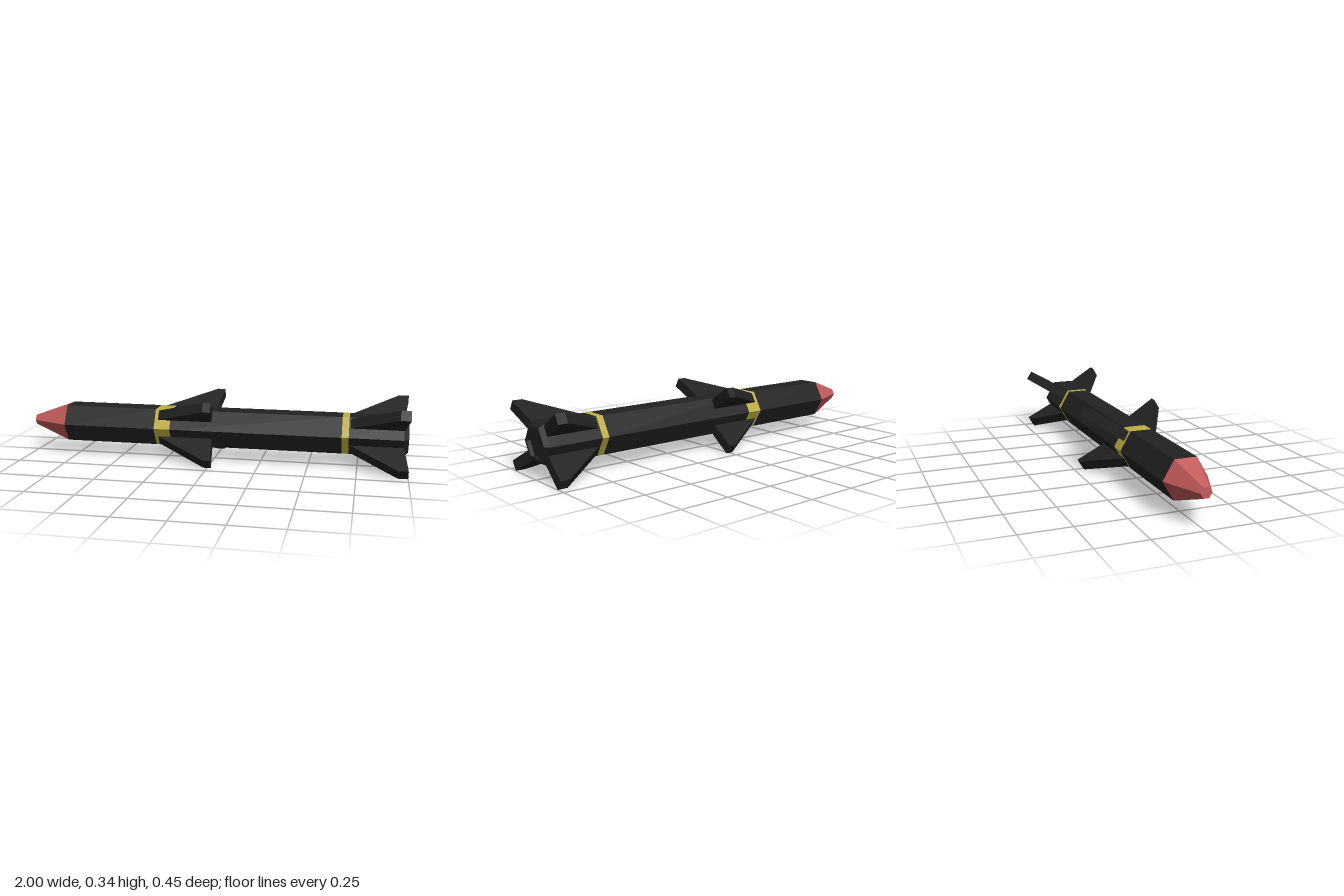
import * as THREE from 'three';

const R = 0.11;                              // hexagon corner radius
const APOTHEM = R * Math.cos(Math.PI / 6);
const CENTER_Y = 0.172;

const mat = (color) => new THREE.MeshStandardMaterial({ color, flatShading: true });

export function createModel() {
  const model = new THREE.Group();
  model.name = 'missile';
  const black = mat(0x222222), yellow = mat(0xbfae42), red = mat(0xc45c5c);

  // Six-sided section along x from [radius, x] pairs
  function hexSection(name, profile, material) {
    const geo = new THREE.LatheGeometry(profile.map(([r, x]) => new THREE.Vector2(r, x)), 6);
    geo.rotateZ(-Math.PI / 2);
    const mesh = new THREE.Mesh(geo, material);
    mesh.name = name;
    mesh.position.y = CENTER_Y;
    model.add(mesh);
  }

  hexSection('noseCone', [[0, -1], [0.028, -1], [R, -0.8]], red);
  hexSection('forwardBody', [[R, -0.8], [R, -0.305]], black);
  hexSection('forwardBand', [[R, -0.305], [R, -0.22]], yellow);
  hexSection('middleBody', [[R, -0.22], [R, 0.67]], black);
  hexSection('rearBand', [[R, 0.67], [R, 0.705]], yellow);
  // Tail with chamfered rim and shallow recessed exhaust
  hexSection('tailBody', [[R, 0.705], [R, 0.975], [0.089, 1], [0.075, 1], [0.075, 0.98], [0, 0.98]], black);

  // Swept fin: outline in (x, radial), thickness across the hull face
  function finGeometry(rootFront, tipFront, rootBack, tipBack) {
    const root = APOTHEM - 0.002, tip = 0.256;
    const shape = new THREE.Shape([
      new THREE.Vector2(rootFront, root), new THREE.Vector2(rootBack, root),
      new THREE.Vector2(tipBack, tip), new THREE.Vector2(tipFront, tip),
    ]);
    const geo = new THREE.ExtrudeGeometry(shape, { depth: 0.052, bevelEnabled: false });
    geo.translate(0, 0, -0.004);
    return geo;
  }

  // Four fins on the slanted faces, each set towards the top or bottom edge
  function finSet(name, geo) {
    const set = new THREE.Group();
    set.name = name;
    set.position.y = CENTER_Y;
    for (const side of [1, -1]) {
      for (const up of [1, -1]) {
        const g = geo.clone();
        // Mirror the thickness direction so the offset faces the flat top or bottom
        if (side * up > 0) g.translate(0, 0, -0.044);
        const fin = new THREE.Mesh(g, black);
        fin.name = `${up > 0 ? 'upper' : 'lower'}${side > 0 ? 'Front' : 'Back'}Fin`;
        // Turn the radial axis (y) to 30 degrees above or below the z axis
        fin.rotation.x = side * (up > 0 ? Math.PI / 3 : 2 * Math.PI / 3);
        set.add(fin);
      }
    }
    model.add(set);
  }

  finSet('middleFins', finGeometry(-0.29, -0.02, 0.0, 0.02));
  finSet('tailFins', finGeometry(0.71, 0.95, 0.978, 1.0));

  return model;
}
